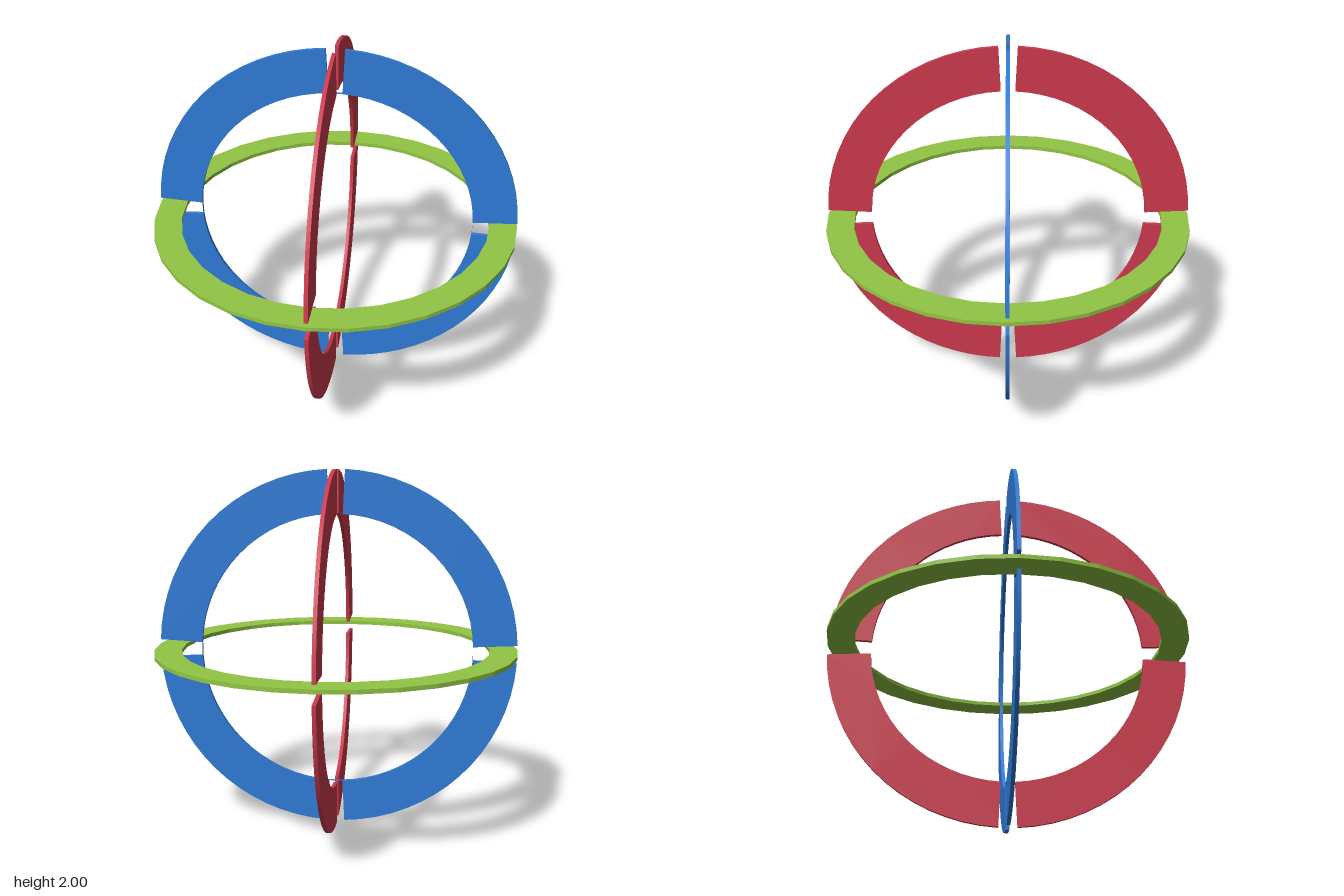
import * as THREE from 'three';
import { toCreasedNormals } from 'three/addons/utils/BufferGeometryUtils.js';

const THICK = 0.02;
const INNER = 0.76;
const GAP = THREE.MathUtils.degToRad(2.85);

function extrudeCentred(shape, depth, curveSegments) {
  const g = new THREE.ExtrudeGeometry(shape, { depth, curveSegments, bevelEnabled: false });
  return g.translate(0, 0, -depth / 2);
}

// One quarter of a flat upright ring, leaving half a gap at each end
function arcGeometry() {
  const shape = new THREE.Shape();
  shape.absarc(0, 0, 1, GAP, Math.PI / 2 - GAP, false);
  shape.absarc(0, 0, INNER, Math.PI / 2 - GAP, GAP, true);
  return toCreasedNormals(extrudeCentred(shape, THICK, 8), 0.6);
}

function uprightRing(name, material) {
  const ring = new THREE.Group();
  ring.name = name;
  const geometry = arcGeometry();
  for (let i = 0; i < 4; i++) {
    const arc = new THREE.Mesh(geometry, material);
    arc.name = name + 'Arc' + (i + 1);
    arc.rotation.z = i * Math.PI / 2;
    ring.add(arc);
  }
  ring.position.y = 1;
  return ring;
}

export function createModel() {
  const model = new THREE.Group();
  model.name = 'gimbalRings';
  const blue = new THREE.MeshStandardMaterial({ color: 0x2f7bd8 });
  const red = new THREE.MeshStandardMaterial({ color: 0xce3a4d });
  const green = new THREE.MeshStandardMaterial({ color: 0x92c644 });

  // Upright rings at right angles to each other
  const blueRing = uprightRing('blueRing', blue);
  const redRing = uprightRing('redRing', red);
  redRing.rotation.y = Math.PI / 2;
  model.add(blueRing, redRing);

  // Thin strips joining the blue arcs along their inner edge
  const stripMaterial = blue.clone();
  stripMaterial.side = THREE.DoubleSide;
  const stripGeometry = new THREE.PlaneGeometry(2 * INNER * Math.sin(GAP), THICK);
  stripGeometry.rotateX(-Math.PI / 2).translate(0, INNER * Math.cos(GAP), 0);
  for (let i = 0; i < 4; i++) {
    const strip = new THREE.Mesh(stripGeometry, stripMaterial);
    strip.name = 'joiningStrip' + (i + 1);
    strip.rotation.z = i * Math.PI / 2;
    blueRing.add(strip);
  }

  // Level 32-sided ring, passing through the gaps
  const band = new THREE.Shape().absarc(0, 0, 1, 0, Math.PI * 2, false);
  band.holes.push(new THREE.Path().absarc(0, 0, 0.85, 0, Math.PI * 2, true));
  const levelRing = new THREE.Mesh(extrudeCentred(band, 0.022, 16), green);
  levelRing.name = 'levelRing';
  levelRing.rotation.x = -Math.PI / 2;
  levelRing.position.y = 1.016;
  model.add(levelRing);

  return model;
}
